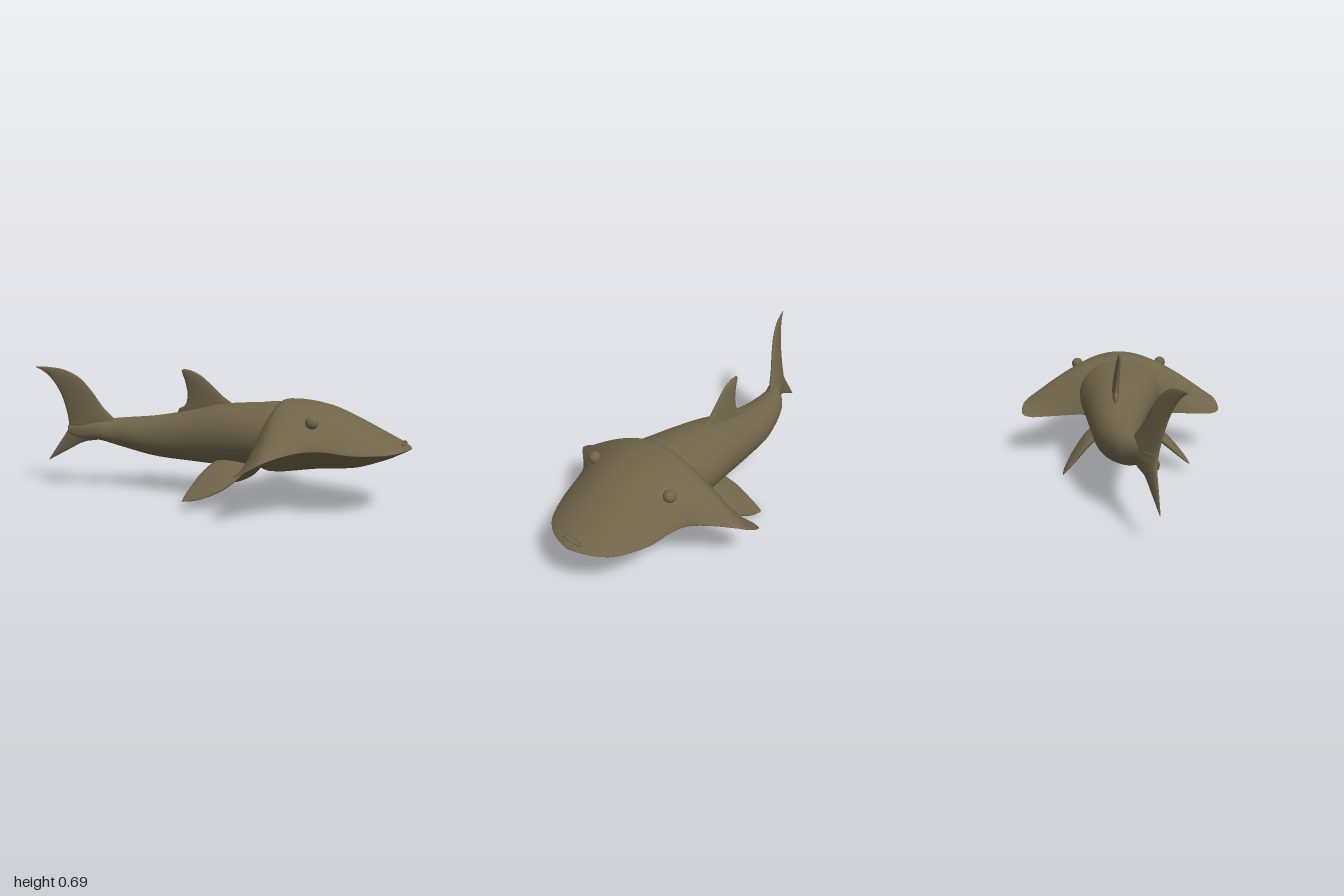
import * as THREE from 'three';

const V = (x, y, z) => new THREE.Vector3(x, y, z);

// Smoothly resample a table of stations (each row is a list of numbers)
function resample(rows, steps) {
  const last = rows.length - 1, out = [];
  for (let i = 0; i <= last * steps; i++) {
    const k = Math.min(Math.floor(i / steps), last - 1), t = i / steps - k;
    const [a, b, c, d] = [k - 1, k, k + 1, k + 2].map(j => rows[Math.min(Math.max(j, 0), last)]);
    out.push(b.map((_, j) => b[j] + 0.5 * t * (c[j] - a[j]
      + t * (2 * a[j] - 5 * b[j] + 4 * c[j] - d[j] + t * (3 * (b[j] - c[j]) + d[j] - a[j])))));
  }
  return out;
}

// Skin closed rings of points, cap both ends, and face outward
function loft(rings) {
  const n = rings[0].length, m = rings.length, pts = rings.flat(), index = [];
  for (let i = 0; i < m - 1; i++) {
    for (let j = 0; j < n; j++) {
      const a = i * n + j, b = i * n + (j + 1) % n;
      index.push(a, b, a + n, b, b + n, a + n);
    }
  }
  [0, m - 1].forEach(r => {
    const centre = V(0, 0, 0);
    rings[r].forEach(p => centre.addScaledVector(p, 1 / n));
    const c = pts.push(centre) - 1;
    for (let j = 0; j < n; j++) {
      const a = r * n + j, b = r * n + (j + 1) % n;
      if (r === 0) index.push(c, b, a); else index.push(c, a, b);
    }
  });
  let volume = 0;
  for (let i = 0; i < index.length; i += 3) {
    const [a, b, c] = [pts[index[i]], pts[index[i + 1]], pts[index[i + 2]]];
    volume += a.dot(b.clone().cross(c));
  }
  if (volume < 0) index.reverse();
  const g = new THREE.BufferGeometry().setFromPoints(pts);
  g.setIndex(index);
  g.computeVertexNormals();
  return g;
}

// Fin with a lens section between leading and trailing edges
// rows: leadX, leadY, trailX, trailY, thickness; place() turns x, y, offset into a point
function fin(rows, place) {
  const n = 20;
  return loft(resample(rows, 6).map(([lx, ly, tx, ty, th]) => {
    const ring = [];
    for (let j = 0; j < n; j++) {
      const a = j / n * Math.PI * 2, c = 0.5 - 0.5 * Math.cos(a);
      ring.push(place(lx + (tx - lx) * c, ly + (ty - ly) * c, th / 2 * Math.sin(a)));
    }
    return ring;
  }));
}

export function createModel() {
  const group = new THREE.Group();
  const skin = new THREE.MeshStandardMaterial({ color: 0x70654a });
  skin.name = 'olive brown skin';
  const add = (name, geometry) => {
    const mesh = new THREE.Mesh(geometry, skin);
    mesh.name = name;
    group.add(mesh);
    return mesh;
  };

  // Body: x, top, bottom, centre z, half width
  const body = [
    [-0.87, 0.36, 0.315, 0.083, 0.008], [-0.8, 0.38, 0.285, 0.06, 0.022],
    [-0.7, 0.39, 0.275, 0.022, 0.044], [-0.6, 0.4, 0.24, -0.028, 0.072],
    [-0.4, 0.418, 0.193, -0.055, 0.11], [-0.2, 0.455, 0.18, -0.05, 0.14],
    [0, 0.5, 0.175, -0.033, 0.178], [0.22, 0.52, 0.178, -0.012, 0.22],
    [0.34, 0.525, 0.185, 0, 0.215], [0.48, 0.45, 0.25, 0, 0.12],
  ];
  add('body', loft(resample(body, 6).map(([x, top, bottom, z, w]) => {
    const ring = [];
    for (let j = 0; j < 40; j++) {
      const a = j / 40 * Math.PI * 2;
      ring.push(V(x, (top + bottom) / 2 + (top - bottom) / 2 * Math.sin(a), z + w * Math.cos(a)));
    }
    return ring;
  })));

  // Head shield with swept-back wings: x, half width, top, rim y, bottom, dome power
  const head = [
    [0.235, 0.5, 0.31, 0.228, 0.212, 1.8], [0.25, 0.545, 0.38, 0.235, 0.188, 1.8],
    [0.28, 0.56, 0.465, 0.248, 0.17, 1.7], [0.34, 0.553, 0.535, 0.28, 0.168, 1.25],
    [0.4, 0.51, 0.546, 0.31, 0.175, 1], [0.48, 0.42, 0.542, 0.33, 0.188, 0.85],
    [0.55, 0.35, 0.53, 0.336, 0.198, 0.7], [0.63, 0.315, 0.508, 0.333, 0.205, 0.7],
    [0.75, 0.285, 0.455, 0.318, 0.22, 0.75], [0.88, 0.22, 0.39, 0.315, 0.265, 0.8],
    [0.95, 0.145, 0.355, 0.318, 0.298, 0.8], [0.985, 0.07, 0.336, 0.322, 0.312, 0.9],
    [1, 0.005, 0.326, 0.324, 0.32, 1],
  ];
  add('headShield', loft(resample(head, 5).map(([x, w, top, rim, bottom, power]) => {
    const ring = [], n = 72, lip = Math.min(0.018, (rim - bottom) / 2);
    const bellyWidth = Math.min(0.27, w * 0.9);
    const rear = Math.max(0, (0.3 - x) / 0.065);
    const arch = 0.07 * THREE.MathUtils.clamp((0.42 - x) / 0.14, 0, 1);
    for (let j = 0; j < n; j++) {
      const a = j / n * Math.PI * 2, t = Math.cos(a), z = w * t;
      const q = Math.min(1, Math.abs(z) / bellyWidth);
      const under = rim + lip * Math.sin(a) + arch * (1 - Math.abs(t));
      const y = Math.sin(a) >= 0
        ? rim + (top - rim) * Math.pow(Math.max(0, Math.cos(t * Math.PI / 2)), power)
        : under - (under - bottom) * Math.pow(1 - q * q, 0.8);
      ring.push(V(x + 0.035 * rear * (1 - Math.abs(t)), y, z));
    }
    return ring;
  })));

  // Dorsal fin
  add('dorsalFin', fin([
    [0.09, 0.47, -0.27, 0.42, 0.036], [0.04, 0.512, -0.262, 0.458, 0.034],
    [0, 0.54, -0.222, 0.485, 0.032], [-0.06, 0.595, -0.207, 0.54, 0.028],
    [-0.12, 0.645, -0.217, 0.61, 0.022], [-0.18, 0.674, -0.232, 0.652, 0.014],
    [-0.225, 0.68, -0.236, 0.67, 0.004],
  ], (x, y, d) => V(x, y, -0.055 + 0.09 * (y - 0.45) + 0.04 * (x + 0.1) + d)));

  // Tail fin: both lobes curl towards +z
  const tailPlace = (x, y, d) => V(x, y, 0.03 + 0.33 * (-0.7 - x) + 0.2 * (y - 0.4) + d);
  add('upperTailLobe', fin([
    [-0.6, 0.33, -0.872, 0.325, 0.055], [-0.625, 0.395, -0.868, 0.37, 0.05],
    [-0.675, 0.46, -0.87, 0.43, 0.04], [-0.73, 0.56, -0.882, 0.51, 0.032],
    [-0.785, 0.632, -0.9, 0.57, 0.025], [-0.86, 0.675, -0.932, 0.63, 0.018],
    [-0.94, 0.689, -0.965, 0.665, 0.01], [-1, 0.692, -1, 0.688, 0.003],
  ], tailPlace));
  add('lowerTailLobe', fin([
    [-0.66, 0.36, -0.868, 0.38, 0.05], [-0.7, 0.283, -0.872, 0.345, 0.04],
    [-0.8, 0.262, -0.9, 0.3, 0.026], [-0.9, 0.21, -0.945, 0.238, 0.016],
    [-1, 0.155, -1, 0.16, 0.003],
  ], tailPlace));

  // Paired pelvic fins curving in under the belly, the left held slightly higher
  const pelvic = [
    [0.22, 0.235, 0.05, 0.235, 0.05], [0.2, 0.2, -0.005, 0.205, 0.05],
    [0.17, 0.14, -0.04, 0.15, 0.046], [0.12, 0.085, -0.062, 0.095, 0.038],
    [0.06, 0.045, -0.076, 0.055, 0.028], [-0.01, 0.014, -0.085, 0.022, 0.016],
    [-0.075, 0.001, -0.088, 0.003, 0.003],
  ];
  const spread = y => 0.335 - 0.925 * y - 12 * Math.max(0, y - 0.14) ** 2;
  add('rightPelvicFin', fin(pelvic, (x, y, d) => V(x, y + d * 0.68, -spread(y) - d * 0.73)));
  add('leftPelvicFin', fin(pelvic, (x, y, d) => V(x, 0.045 + 0.775 * y + d * 0.77, 0.01 + spread(y) + d * 0.64)));

  // Eyes, mostly sunk into the head
  [['leftEye', 0.25], ['rightEye', -0.24]].forEach(([name, z]) => {
    const eye = add(name, new THREE.SphereGeometry(0.032, 20, 14));
    eye.position.set(0.55, 0.462, z);
  });

  // Long raised nostril ring lying on the snout
  const nostril = add('nostril', new THREE.TorusGeometry(0.03, 0.005, 8, 32));
  nostril.scale.set(0.35, 2, 1);
  nostril.rotation.set(Math.PI / 2, -0.46, 0);
  nostril.position.set(0.962, 0.346, -0.003);

  return group;
}
